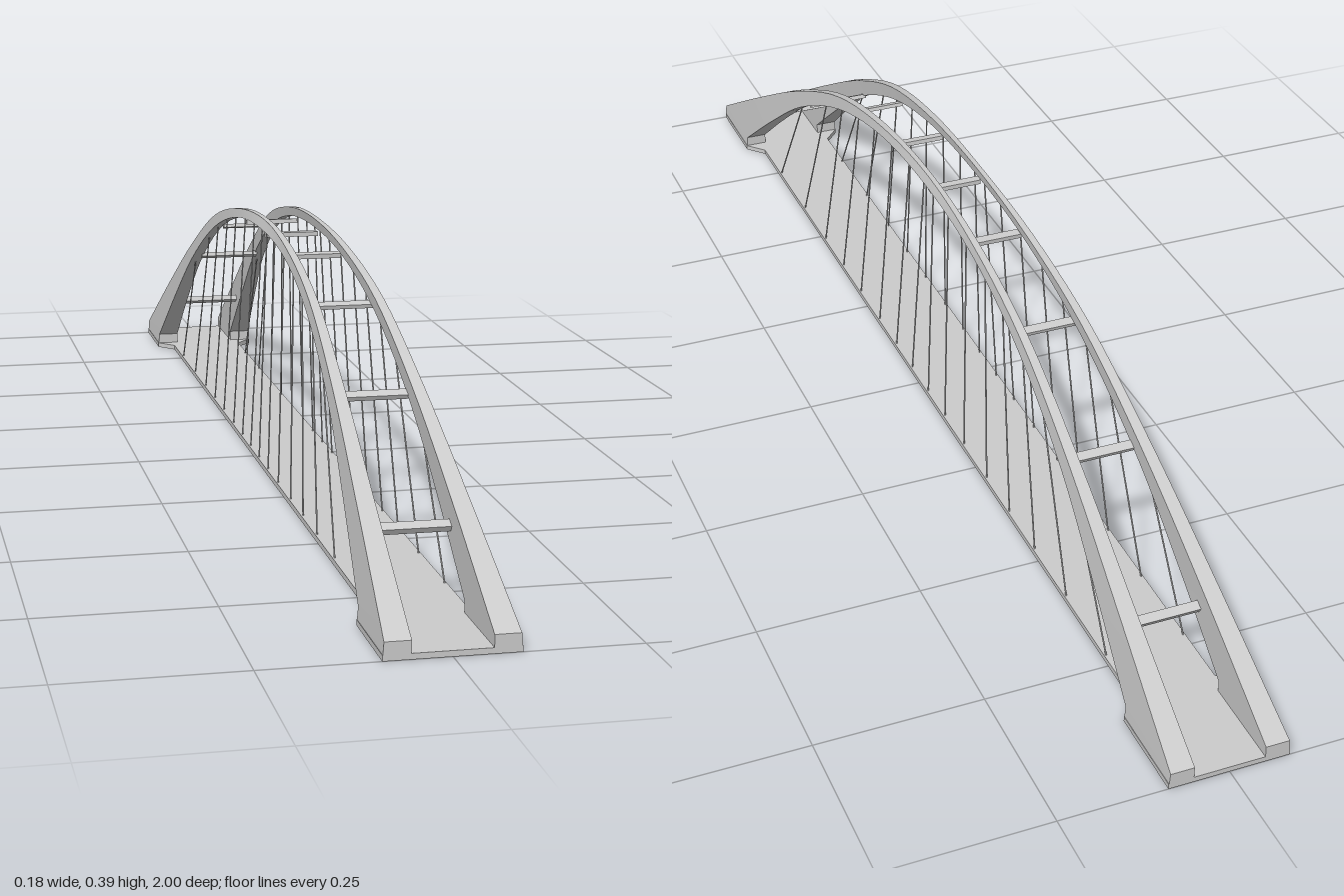
import * as THREE from 'three';
import { toCreasedNormals } from 'three/addons/utils/BufferGeometryUtils.js';

const material = new THREE.MeshStandardMaterial({ color: 0xcccccc });

// Half of each arch edge as [z, y], from the foot to the crown
const UPPER = [[1, 0.025], [0.8, 0.14], [0.6, 0.248], [0.4, 0.333], [0.2, 0.375], [0, 0.388]];
const UNDER = [[0.86, 0.025], [0.725, 0.127], [0.58, 0.226], [0.393, 0.313], [0.2, 0.36], [0, 0.373]];

// Arch faces lean inward with height: [y, x]
const OUTER_X = [[0, 0.09], [0.025, 0.088], [0.14, 0.076], [0.25, 0.064], [0.333, 0.055], [0.373, 0.049], [0.388, 0.044]];
const INNER_X = [[0, 0.053], [0.14, 0.051], [0.25, 0.047], [0.333, 0.042], [0.373, 0.038], [0.388, 0.036]];

function lookup(table, y) {
  for (let i = 1; i < table.length; i++) {
    const [y0, x0] = table[i - 1], [y1, x1] = table[i];
    if (y <= y1) return x0 + (x1 - x0) * (y - y0) / (y1 - y0);
  }
  return table[table.length - 1][1];
}

// Smooth edge over the full span, from the front foot to the back foot
function edge(half, xTable, side) {
  const back = half.slice(0, -1).reverse().map(([z, y]) => [-z, y]);
  const points = [...half, ...back].map(([z, y]) => new THREE.Vector3(side * lookup(xTable, y), y, z));
  return new THREE.CatmullRomCurve3(points, false, 'centripetal');
}

function archGeometry(side) {
  const edges = [edge(UPPER, OUTER_X, side), edge(UPPER, INNER_X, side),
    edge(UNDER, INNER_X, side), edge(UNDER, OUTER_X, side)];
  const steps = 50, rings = [];
  for (let i = 0; i <= steps; i++) rings.push(edges.map(c => c.getPoint(i / steps)));
  // Vertical-ended feet below the first and last sections
  const foot = ring => ring.map((p, k) =>
    new THREE.Vector3(side * lookup(k % 3 ? INNER_X : OUTER_X, 0), 0, p.z));
  rings.unshift(foot(rings[0]));
  rings.push(foot(rings[rings.length - 1]));

  const positions = [];
  const quad = (a, b, c, d) => {
    const order = side > 0 ? [a, b, c, a, c, d] : [a, c, b, a, d, c];
    order.forEach(p => positions.push(p.x, p.y, p.z));
  };
  for (let i = 0; i < rings.length - 1; i++) {
    for (let k = 0; k < 4; k++) {
      const n = (k + 1) % 4;
      quad(rings[i][k], rings[i + 1][k], rings[i + 1][n], rings[i][n]);
    }
  }
  quad(...rings[0]);
  quad(...[...rings[rings.length - 1]].reverse());
  const geometry = new THREE.BufferGeometry();
  geometry.setAttribute('position', new THREE.Float32BufferAttribute(positions, 3));
  return toCreasedNormals(geometry, 0.35);
}

function deckGeometry() {
  // Plan outline: slim roadway that widens under the feet
  const quarter = [[0.09, 1], [0.09, 0.86], [0.063, 0.83]];
  const right = [...quarter, ...[...quarter].reverse().map(([x, z]) => [x, -z])];
  const left = [...right].reverse().map(([x, z]) => [-x, z]);
  const shape = new THREE.Shape([...right, ...left].map(([x, z]) => new THREE.Vector2(x, z)));
  const geometry = new THREE.ExtrudeGeometry(shape, { depth: 0.008, bevelEnabled: false });
  return geometry.rotateX(Math.PI / 2).translate(0, 0.008, 0);
}

function cable(from, to) {
  const direction = new THREE.Vector3().subVectors(to, from);
  const mesh = new THREE.Mesh(new THREE.CylinderGeometry(0.0012, 0.0012, direction.length(), 6), material);
  mesh.position.addVectors(from, to).multiplyScalar(0.5);
  mesh.quaternion.setFromUnitVectors(new THREE.Vector3(0, 1, 0), direction.normalize());
  mesh.name = 'cable';
  return mesh;
}

export function createModel() {
  const model = new THREE.Group();
  model.name = 'archBridge';
  const add = (name, geometry) => {
    const mesh = new THREE.Mesh(geometry, material);
    mesh.name = name;
    model.add(mesh);
    return mesh;
  };

  add('deck', deckGeometry());
  add('leftArch', archGeometry(1));
  add('rightArch', archGeometry(-1));

  // Cross beams tying the arches: z, y, height, tilt
  const beams = [[0.79, 0.105, 0.009, 0.52], [0.57, 0.231, 0.007, 0.45],
    [0.365, 0.318, 0.006, 0.28], [0.165, 0.357, 0.007, 0.12], [0, 0.363, 0.007, 0]];
  for (const [z, y, height, tilt] of beams) {
    for (const end of z ? [1, -1] : [1]) {
      const width = 2 * lookup(INNER_X, y) + 0.006;
      const beam = add('crossBeam', new THREE.BoxGeometry(width, height, 0.014));
      beam.position.set(0, y, end * z);
      beam.rotation.x = end * tilt;
    }
  }

  // Hangers fanning outward: z at the deck, z and y at the arch
  const hangers = [[0.037, 0.02, 0.376], [0.112, 0.085, 0.374], [0.195, 0.162, 0.367], [0.29, 0.242, 0.355],
    [0.382, 0.315, 0.34], [0.48, 0.395, 0.318], [0.597, 0.473, 0.282], [0.737, 0.592, 0.226]];
  const cables = new THREE.Group();
  cables.name = 'cables';
  for (const side of [1, -1]) for (const end of [1, -1]) for (const [zLow, zHigh, y] of hangers) {
    const x = (lookup(INNER_X, y) + lookup(OUTER_X, y)) / 2;
    cables.add(cable(new THREE.Vector3(side * 0.06, 0.006, end * zLow),
      new THREE.Vector3(side * x, y, end * zHigh)));
  }
  model.add(cables);
  return model;
}
